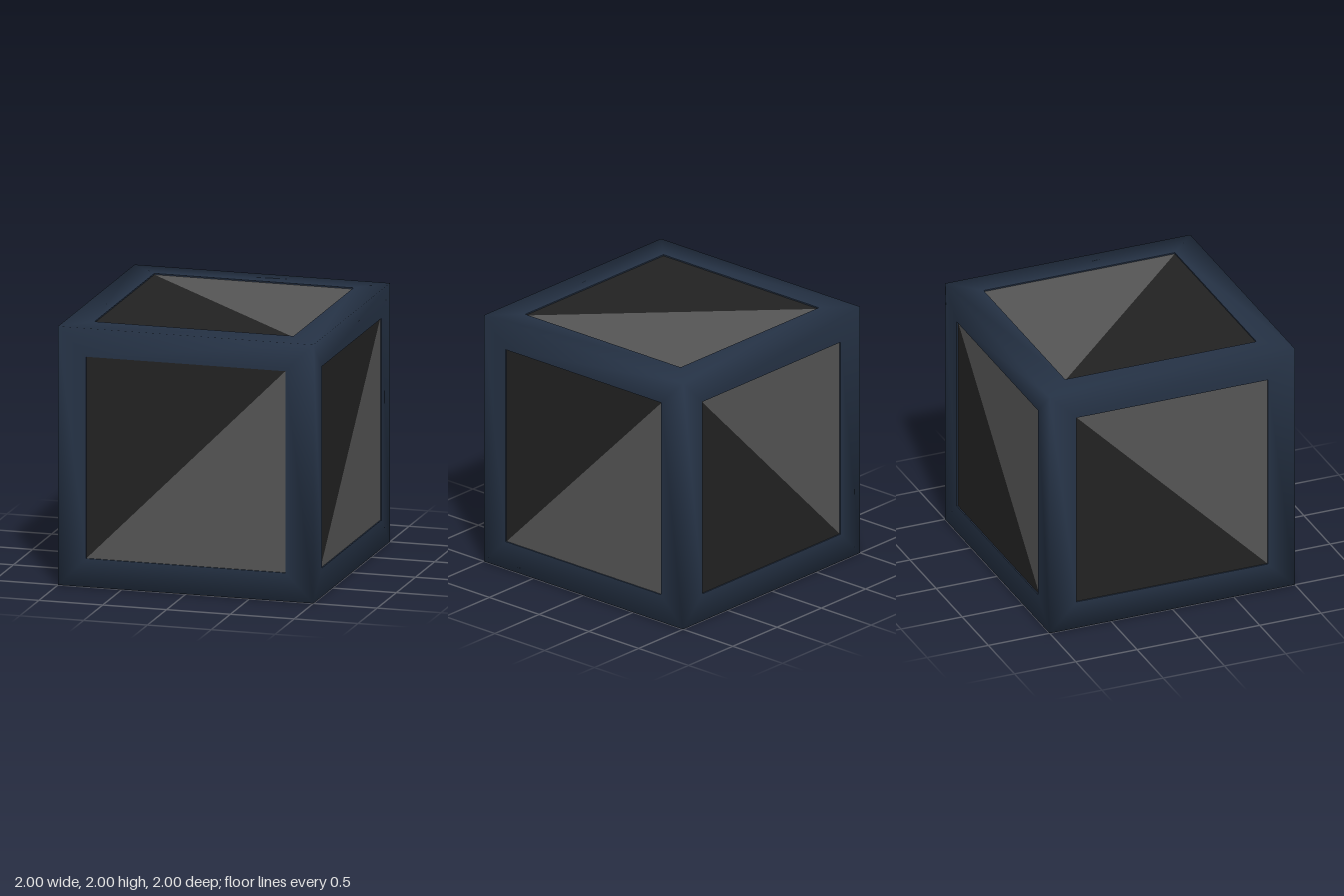
import * as THREE from 'three';

const OUTER = 1;      // half size of the cube
const INNER = 0.78;   // half size of each window
const DEPTH = 0.01;   // how far the panes sit behind the frame face

const frameBlue = new THREE.MeshStandardMaterial({ color: 0x253245 });
const paneLight = new THREE.MeshStandardMaterial({ color: 0x555555 });
const paneDark = new THREE.MeshStandardMaterial({ color: 0x222222 });

const V = (x, y, z) => new THREE.Vector3(x, y, z);

// Each side: outward normal, one in-plane axis, and the corner its light pane fills
const SIDES = [
  { name: 'front', n: V(0, 0, 1), u: V(1, 0, 0), lit: V(1, -1, 1) },
  { name: 'back', n: V(0, 0, -1), u: V(-1, 0, 0), lit: V(-1, 1, -1) },
  { name: 'left', n: V(1, 0, 0), u: V(0, 0, -1), lit: V(1, -1, -1) },
  { name: 'right', n: V(-1, 0, 0), u: V(0, 0, 1), lit: V(-1, 1, 1) },
  { name: 'top', n: V(0, 1, 0), u: V(1, 0, 0), lit: V(1, 1, -1) },
  { name: 'bottom', n: V(0, -1, 0), u: V(1, 0, 0), lit: V(-1, -1, 1) },
];
const CORNERS = [[-1, -1], [1, -1], [1, 1], [-1, 1]]; // counter-clockwise

// Geometry from a counter-clockwise polygon and one normal per corner
function polygon(points, normals) {
  const g = new THREE.BufferGeometry().setFromPoints(points);
  g.setAttribute('normal', new THREE.Float32BufferAttribute(normals.flatMap((n) => n.toArray()), 3));
  g.setIndex(points.length === 3 ? [0, 1, 2] : [0, 1, 2, 0, 2, 3]);
  return g;
}

function addMesh(parent, name, geometry, material) {
  const mesh = new THREE.Mesh(geometry, material);
  mesh.name = name;
  parent.add(mesh);
}

function buildSide({ name, n, u, lit }) {
  const side = new THREE.Group();
  side.name = name + 'Side';
  const v = n.clone().cross(u);
  const ring = (size, height) => CORNERS.map(([a, b]) =>
    n.clone().multiplyScalar(height).addScaledVector(u, a * size).addScaledVector(v, b * size));
  const outer = ring(OUTER, OUTER);
  const inner = ring(INNER, OUTER);
  const deep = ring(INNER, OUTER - DEPTH);

  for (let k = 0; k < 4; k++) {
    const j = (k + 1) % 4;
    // frame bar, shaded softly around the cube's edges
    addMesh(side, name + 'FrameBar', polygon(
      [outer[k], outer[j], inner[j], inner[k]],
      [outer[k].clone().normalize(), outer[j].clone().normalize(), n, n]), frameBlue);
    // thin reveal between the frame and the pane
    const inward = deep[k].clone().add(deep[j]).multiplyScalar(-0.5)
      .addScaledVector(n, OUTER - DEPTH).normalize();
    addMesh(side, name + 'Reveal', polygon(
      [inner[k], inner[j], deep[j], deep[k]], [inward, inward, inward, inward]), frameBlue);
  }

  // window split along its diagonal into a light and a dark pane
  const k = CORNERS.findIndex(([a, b]) => a === lit.dot(u) && b === lit.dot(v));
  const pane = (c) => polygon([deep[(c + 3) % 4], deep[c % 4], deep[(c + 1) % 4]], [n, n, n]);
  addMesh(side, name + 'LightPane', pane(k), paneLight);
  addMesh(side, name + 'DarkPane', pane(k + 2), paneDark);
  return side;
}

export function createModel() {
  const model = new THREE.Group();
  model.name = 'framedCube';
  const cube = new THREE.Group();
  cube.name = 'cube';
  cube.position.y = OUTER;
  SIDES.forEach((s) => cube.add(buildSide(s)));
  model.add(cube);
  return model;
}
